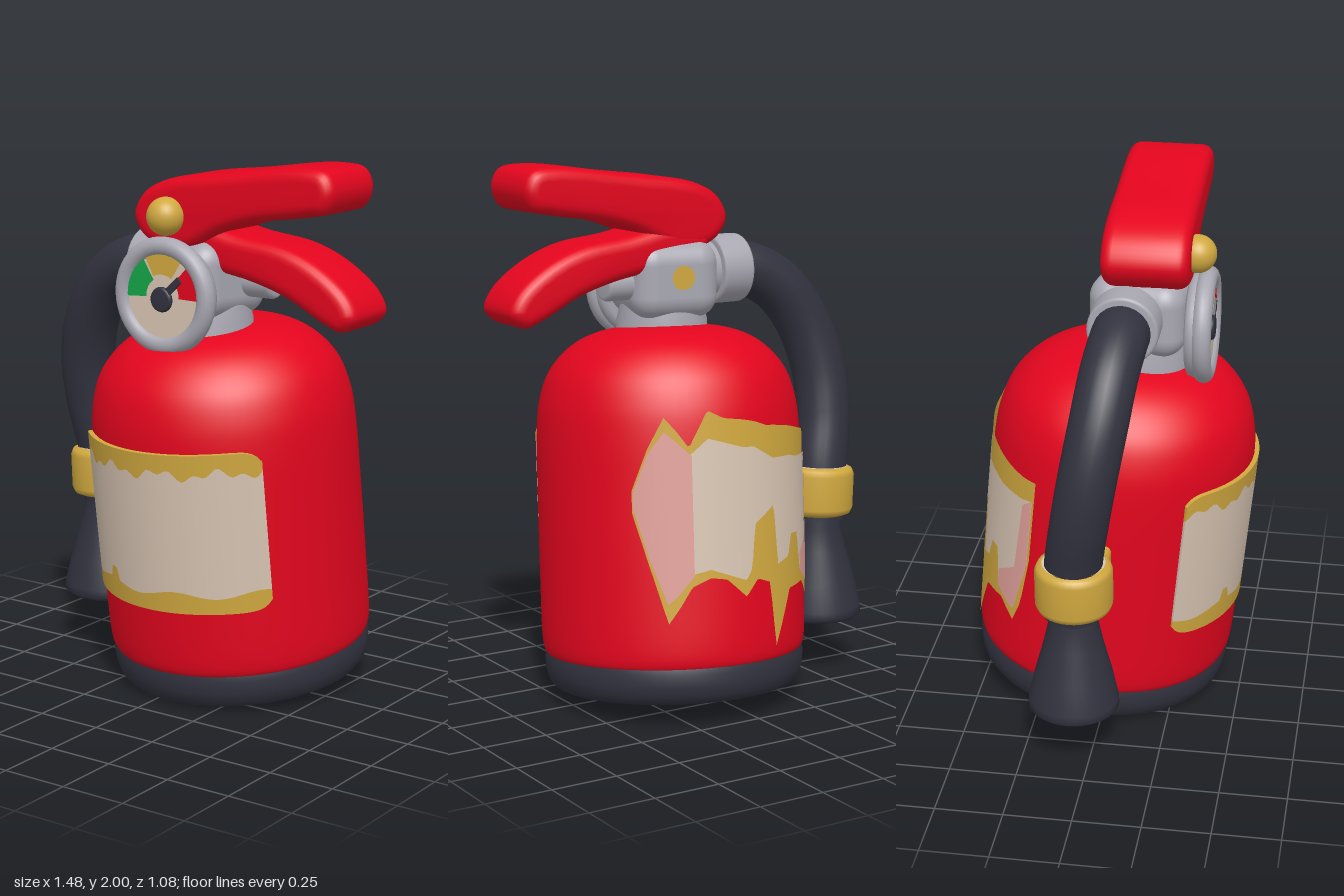
import * as THREE from 'three';
import { toCreasedNormals, mergeVertices } from 'three/addons/utils/BufferGeometryUtils.js';
import { RoundedBoxGeometry } from 'three/addons/geometries/RoundedBoxGeometry.js';

const material = (name, color, side = THREE.FrontSide) => {
  const m = new THREE.MeshStandardMaterial({ color, side });
  m.name = name;
  return m;
};
const V2 = (x, y) => new THREE.Vector2(x, y);
const V3 = (x, y, z) => new THREE.Vector3(x, y, z);

export function createModel() {
  const model = new THREE.Group();
  const red = material('red paint', 0xe4051e);
  const dark = material('dark rubber', 0x32323f);
  const grey = material('grey metal', 0xa9a8b2);
  const gold = material('gold', 0xd0a83f, THREE.DoubleSide);
  const beige = material('beige label', 0xd8c5b3, THREE.DoubleSide);
  const pink = material('faded pink', 0xe0a09a, THREE.DoubleSide);
  const green = material('gauge green', 0x14a548);

  const add = (name, geometry, mat, parent = model, pos = [0, 0, 0], rot = [0, 0, 0]) => {
    const mesh = new THREE.Mesh(geometry, mat);
    mesh.name = name;
    mesh.position.set(...pos);
    mesh.rotation.set(...rot);
    parent.add(mesh);
    return mesh;
  };
  const lathe = (points, n = 56) => new THREE.LatheGeometry(points.map((p) => V2(...p)), n);
  // Short turned part with rounded rims, centred on its own y axis
  const drum = (r, h, b = 0.025) => lathe([[0, -h / 2], [r - b, -h / 2], [r - b * 0.3, -h / 2 + b * 0.3],
    [r, -h / 2 + b], [r, h / 2 - b], [r - b * 0.3, h / 2 - b * 0.3], [r - b, h / 2], [0, h / 2]], 36);

  // Leaning tank with its foot
  const tank = new THREE.Group();
  tank.name = 'tank';
  tank.position.set(0.09, 0.05, -0.06);
  tank.rotation.set(0.098, 0, 0.03);
  model.add(tank);
  const wall = new THREE.SplineCurve([[0.47, 0.12], [0.494, 0.17], [0.497, 0.4], [0.496, 0.7], [0.493, 0.95],
    [0.476, 1.09], [0.43, 1.2], [0.335, 1.29], [0.2, 1.338], [0.001, 1.352]].map((p) => V2(...p)));
  add('tankBody', new THREE.LatheGeometry(wall.getPoints(54), 64), red, tank);
  add('footRing', toCreasedNormals(lathe([[0.405, 0.09], [0.415, 0], [0.435, -0.005], [0.455, 0.005],
    [0.475, 0.03], [0.485, 0.065], [0.488, 0.11], [0.48, 0.14], [0.46, 0.152]], 64), 0.7), dark, tank);

  // Underside sinks in towards the front and carries worn paint
  const underside = new THREE.Group();
  underside.name = 'footUnderside';
  underside.position.y = 0.03;
  underside.rotation.x = -0.07;
  tank.add(underside);
  add('undersideDisc', new THREE.CircleGeometry(0.43, 48), dark, underside, [0, 0, 0], [Math.PI / 2, 0, 0]);
  const sliver = (name, pts, mat) => {
    const shape = new THREE.Shape(pts.map((p) => V2(...p)));
    add(name, new THREE.ShapeGeometry(shape), mat, underside, [0, -0.004, 0], [Math.PI / 2, 0, 0]);
  };
  sliver('footWornGold', [[0.2, -0.26], [0.08, -0.38], [-0.12, -0.4], [-0.27, -0.32], [-0.26, -0.26], [-0.08, -0.24]], gold);
  sliver('footWornRed', [[0.27, 0.31], [0.0, 0.405], [-0.22, 0.34], [-0.12, 0.25], [0.08, 0.24]], red);

  // Bends a flat grid or box (unit sized) around the tank; lo and hi give its height at each angle
  const bend = (geometry, a0, a1, lo, hi, r0, r1 = r0) => {
    const p = geometry.attributes.position;
    for (let i = 0; i < p.count; i++) {
      const a = a0 + (a1 - a0) * (p.getX(i) + 0.5);
      const v = p.getY(i) + 0.5;
      const r = p.getZ(i) > 0 ? r1 : r0;
      const t = THREE.MathUtils.degToRad(a);
      p.setXYZ(i, Math.sin(t) * r, lo(a) + (hi(a) - lo(a)) * v, Math.cos(t) * r);
    }
    geometry.computeVertexNormals();
    return geometry;
  };

  // Front label: beige middle between two ragged gold bands
  const edge = (a) => 0.035 * Math.pow(Math.abs(a + 2.5) / 52, 16);
  const bottom = (a) => 0.385 + edge(a);
  const top = (a) => 0.985 - edge(a);
  const lowerRag = (a) => 0.455 + 0.012 * Math.sin(a * 0.17) + (a > -28 && a < -22 ? 0.045 : 0);
  const upperRag = (a) => 0.91 + 0.014 * Math.sin(a * 0.25) + 0.012 * Math.sin(a * 0.61 + 1);
  const slab = (name, lo, hi, mat) =>
    add(name, bend(new THREE.BoxGeometry(1, 1, 1, 60, 1, 1), -55, 50, lo, hi, 0.47, 0.508), mat, tank);
  slab('frontLabelLowerBand', bottom, lowerRag, gold);
  slab('frontLabelPanel', lowerRag, upperRag, beige);
  slab('frontLabelUpperBand', upperRag, top, gold);

  // Worn back label: ragged sheets, each row is angle, low, high
  const sheet = (name, rows, r, mat) => {
    const at = (k) => (a) => {
      let i = 0;
      while (i < rows.length - 2 && a > rows[i + 1][0]) i++;
      const [p, q] = [rows[i], rows[i + 1]];
      return p[k] + (q[k] - p[k]) * THREE.MathUtils.clamp((a - p[0]) / (q[0] - p[0]), 0, 1);
    };
    const g = new THREE.PlaneGeometry(1, 1, 90, 1);
    add(name, bend(g, rows[0][0], rows[rows.length - 1][0], at(1), at(2), r), mat, tank);
  };
  sheet('backLabelGold', [[133, 0.7, 0.78], [140, 0.5, 0.93], [147, 0.3, 1.04], [152, 0.36, 0.99], [157, 0.43, 0.93],
    [165, 0.46, 1.06], [172, 0.45, 1.03], [181, 0.38, 1.02], [187, 0.44, 1.01], [194, 0.42, 0.99], [197, 0.18, 0.99],
    [208, 0.38, 0.98], [222, 0.39, 0.96], [231, 0.33, 0.95], [235, 0.42, 0.95], [238, 0.62, 0.95]], 0.501, gold);
  sheet('backLabelBeige', [[154, 0.47, 0.88], [165, 0.49, 0.96], [181, 0.44, 0.92], [184, 0.48, 0.92], [186, 0.64, 0.92],
    [197, 0.7, 0.87], [199, 0.48, 0.87], [207, 0.5, 0.87], [210, 0.58, 0.87], [216, 0.58, 0.86], [219, 0.44, 0.86],
    [231, 0.38, 0.86], [237, 0.6, 0.87]], 0.503, beige);
  sheet('backLabelPink', [[133.5, 0.72, 0.77], [140, 0.53, 0.91], [147, 0.37, 0.99], [152, 0.41, 0.95],
    [158, 0.47, 0.9]], 0.505, pink);
  sheet('backLabelPinkCorner', [[219, 0.43, 0.5], [230, 0.38, 0.56], [232, 0.4, 0.84], [237, 0.6, 0.87]], 0.505, pink);

  // Valve block, neck, hose collar and side bolt
  const alongX = [0, 0, Math.PI / 2];
  const alongZ = [Math.PI / 2, 0, 0];
  add('neck', lathe([[0.175, -0.08], [0.17, 0.02], [0.16, 0.06], [0.15, 0.16]]), grey, model, [0.04, 1.39, 0.11]);
  add('valveBlock', new RoundedBoxGeometry(0.34, 0.29, 0.36, 5, 0.085), grey, model, [0.035, 1.565, 0.11], [0, -0.16, 0]);
  add('valveCrossPipe', drum(0.11, 0.2), grey, model, [-0.1, 1.585, 0.08], alongX);
  add('hoseCollar', drum(0.13, 0.13, 0.012), grey, model, [-0.205, 1.587, 0.07], alongX);
  add('sideBolt', drum(0.06, 0.2, 0.015), grey, model, [0.22, 1.555, 0.07], alongX);
  add('valveWornGold', new THREE.CircleGeometry(0.045, 16), gold, model, [0.055, 1.58, -0.071], [0, Math.PI - 0.16, 0]);

  // Pressure gauge
  const gauge = new THREE.Group();
  gauge.name = 'gauge';
  gauge.position.set(0.016, 1.515, 0.3);
  model.add(gauge);
  add('gaugeCase', drum(0.195, 0.08), grey, gauge, [0, 0, 0.015], alongZ);
  add('gaugeRim', new THREE.TorusGeometry(0.18, 0.035, 14, 48), grey, gauge, [0, 0, 0.04]);
  add('gaugeFace', new THREE.CircleGeometry(0.165, 36), beige, gauge, [0, 0, 0.057]);
  const sector = (name, r0, r1, from, to, mat) => add(name,
    new THREE.RingGeometry(r0, r1, 16, 1, from, to - from), mat, gauge, [0, 0, 0.06]);
  sector('gaugeGoldZone', 0.08, 0.155, 1.0, 2.05, gold);
  sector('gaugeGreenZone', 0.068, 0.155, 2.12, 3.2, green);
  sector('gaugeRedZone', 0.075, 0.158, -0.02, 0.8, red);
  add('gaugeHub', drum(0.046, 0.024, 0.01), dark, gauge, [0, -0.01, 0.06], alongZ);
  add('gaugeNeedle', new THREE.BoxGeometry(0.11, 0.026, 0.008), dark, gauge, [0.04, 0.03, 0.064], [0, 0, 0.75]);

  // Levers: rounded outlines extruded front to back
  const lever = (name, pts, z0, z1) => {
    const curve = new THREE.CatmullRomCurve3(pts.map(([x, y]) => V3(x, y, 0)), true, 'centripetal');
    const b = 0.045;
    const shape = new THREE.Shape(curve.getPoints(64).slice(0, -1).map((p) => V2(p.x, p.y)));
    let g = new THREE.ExtrudeGeometry(shape, { depth: z1 - z0 - 2 * b, bevelEnabled: true, bevelSize: b,
      bevelThickness: b, bevelOffset: -b, bevelSegments: 5 });
    g.deleteAttribute('uv');
    g.deleteAttribute('normal');
    g = toCreasedNormals(mergeVertices(g, 1e-4), 0.75);
    add(name, g, red, model, [0, 0, z0 + b]);
  };
  lever('upperLever', [[-0.175, 1.79], [-0.135, 1.87], [-0.03, 1.925], [0.25, 1.965], [0.55, 2.0], [0.645, 1.985],
    [0.675, 1.92], [0.645, 1.85], [0.57, 1.83], [0.35, 1.795], [0.2, 1.75], [0.06, 1.68], [-0.06, 1.68], [-0.14, 1.72]], -0.03, 0.29);
  lever('lowerLever', [[-0.1, 1.72], [0.04, 1.77], [0.25, 1.735], [0.45, 1.705], [0.6, 1.64], [0.71, 1.55],
    [0.737, 1.48], [0.68, 1.43], [0.6, 1.455], [0.45, 1.53], [0.3, 1.575], [0.1, 1.61], [-0.05, 1.65]], -0.03, 0.24);
  add('pinKnob', new THREE.SphereGeometry(0.07, 28, 20), gold, model, [-0.005, 1.797, 0.305]);

  // Hose, nozzle horn and the clamp holding them to the tank
  const path = new THREE.CatmullRomCurve3([V3(-0.2, 1.587, 0.07), V3(-0.32, 1.575, 0.065), V3(-0.45, 1.5, 0.05),
    V3(-0.55, 1.36, 0.03), V3(-0.605, 1.18, 0), V3(-0.608, 1.0, -0.03), V3(-0.575, 0.8, -0.06), V3(-0.56, 0.6, -0.07)]);
  add('hose', new THREE.TubeGeometry(path, 56, 0.105, 24), dark);
  add('horn', lathe([[0, 0.03], [0.12, 0.02], [0.15, 0], [0.168, 0.015], [0.166, 0.045], [0.145, 0.14],
    [0.11, 0.27], [0.09, 0.36], [0.085, 0.48]], 36), dark, model, [-0.572, 0.21, -0.062], [0, 0, -0.02]);
  const clamp = new THREE.Group();
  clamp.name = 'hoseClamp';
  clamp.position.set(-0.562, 0.715, -0.06);
  clamp.rotation.z = 0.04;
  model.add(clamp);
  add('clampBand', drum(0.142, 0.19, 0.03), gold, clamp);
  add('clampBracket', new RoundedBoxGeometry(0.18, 0.17, 0.15, 4, 0.03), gold, clamp, [0.1, 0.005, 0.04]);
  add('clampWornTop', new THREE.RingGeometry(0.1, 0.115, 32), beige, clamp, [0, 0.097, 0], [-Math.PI / 2, 0, 0]);

  return model;
}
